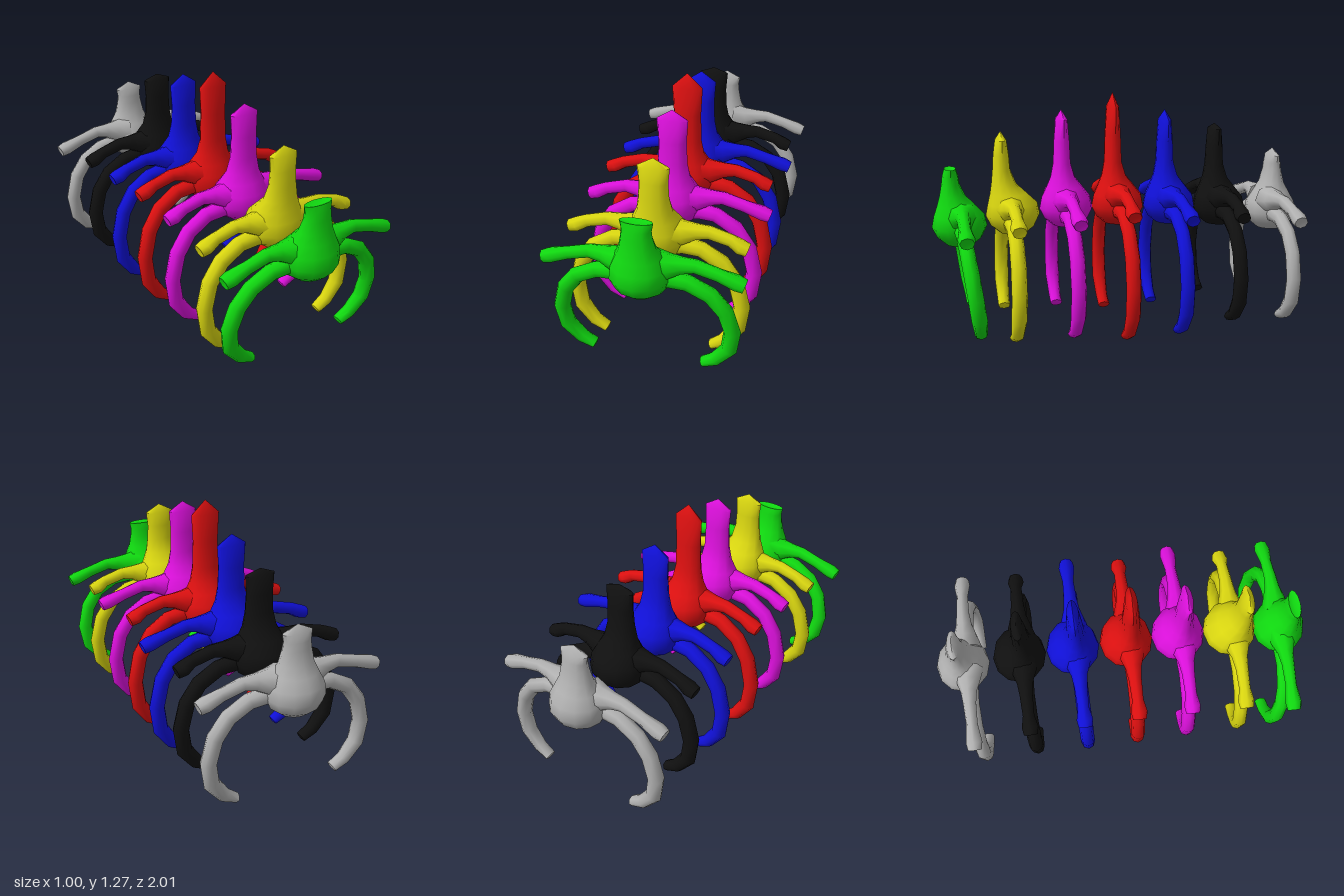
import * as THREE from 'three';
import { toCreasedNormals } from 'three/addons/utils/BufferGeometryUtils.js';

// Sweep of elliptical rings [x, y, z, radius in the xy plane, radius along z], capped by points.
function sweep(rings, sides, startCap, endCap) {
  const pos = [], idx = [], n = rings.length;
  rings.forEach(([x, y, z, ra, rb], i) => {
    const a = rings[Math.max(i - 1, 0)], b = rings[Math.min(i + 1, n - 1)];
    const t = new THREE.Vector2(b[0] - a[0], b[1] - a[1]).normalize();
    for (let k = 0; k < sides; k++) {
      const u = (k / sides) * Math.PI * 2;
      const c = Math.cos(u) * ra, s = Math.sin(u) * rb;
      pos.push(x - t.y * c, y + t.x * c, z + s);
    }
  });
  pos.push(...startCap, ...endCap);
  for (let k = 0; k < sides; k++) {
    const m = (k + 1) % sides;
    for (let i = 0; i < n - 1; i++) {
      const a = i * sides + k, b = i * sides + m;
      idx.push(a, b, b + sides, a, b + sides, a + sides);
    }
    idx.push(n * sides, m, k);
    idx.push(n * sides + 1, (n - 1) * sides + k, (n - 1) * sides + m);
  }
  const g = new THREE.BufferGeometry();
  g.setAttribute('position', new THREE.Float32BufferAttribute(pos, 3));
  g.setIndex(idx);
  return toCreasedNormals(g, 0.95);
}

// One entry per segment, front to back.
const SEGMENTS = [
  { name: 'green', color: 0x10d810, z: 0.865, base: 0.495, shoulder: 0.9, tip: 0.885, lean: 0.04, lift: 0, ribEnd: 0.07, limbZ: -0.005, slant: 0.07, reach: [0.495, 0.5] },
  { name: 'yellow', color: 0xd8d510, z: 0.588, base: 0.545, shoulder: 1.04, tip: 1.085, lean: 0.055, lift: 0.03, ribEnd: 0.04, limbZ: 0.02, slant: -0.01, reach: [0.455, 0.465] },
  { name: 'magenta', color: 0xdc10dc, z: 0.305, base: 0.57, shoulder: 1.14, tip: 1.19, lean: 0.02, lift: 0.06, ribEnd: 0.035, limbZ: 0.015, slant: 0, reach: [0.505, 0.465] },
  { name: 'red', color: 0xdc1010, z: 0.025, base: 0.57, shoulder: 1.2, tip: 1.275, lean: 0.025, lift: 0.075, ribEnd: 0, limbZ: 0.015, slant: 0, reach: [0.455, 0.465] },
  { name: 'blue', color: 0x1010d8, z: -0.262, base: 0.56, shoulder: 1.125, tip: 1.18, lean: 0.025, lift: 0.055, ribEnd: 0.01, limbZ: 0.018, slant: 0, reach: [0.505, 0.465] },
  { name: 'black', color: 0x101010, z: -0.55, base: 0.54, shoulder: 1.07, tip: 1.1, lean: 0.03, lift: 0.045, ribEnd: 0.065, limbZ: 0.02, slant: 0, reach: [0.455, 0.465] },
  { name: 'grey', color: 0xb0b0b0, z: -0.858, base: 0.5, shoulder: 0.915, tip: 0.955, lean: -0.005, lift: 0.015, ribEnd: 0.055, limbZ: 0.03, slant: -0.01, reach: [0.49, 0.5] },
];
const CENTER_X = -0.006;

// Rounded body tapering into a flat upright spine.
function bodyGeometry({ z, base, shoulder, tip, lean }) {
  const neck = Math.min(base + 0.34, shoulder - 0.08);
  const rings = [
    [0.008, 0.075, 0.07, 0], [0.045, 0.125, 0.115, 0], [0.1, 0.15, 0.142, 0],
    [0.16, 0.143, 0.13, 0], [0.215, 0.115, 0.095, 0.4], [0.265, 0.09, 0.065, 0.8],
    [neck - base, 0.076, 0.046, 1], [(neck + shoulder) / 2 - base, 0.072, 0.041, 1],
    [shoulder - base, 0.08, 0.03, 1],
  ].map(([h, rx, rz, f]) => [CENTER_X, base + h, z + lean * f, rx, rz]);
  return sweep(rings, 12, [CENTER_X, base, z], [CENTER_X, tip, z + lean]);
}

// Sideways arm with a slightly swollen end.
function armGeometry({ z, lift, limbZ, reach }, side) {
  const r = side > 0 ? reach[0] : reach[1];
  const rings = [
    [0.06, 0.655, 0.085, 0.085], [0.13, 0.662, 0.062, 0.062], [0.19, 0.675, 0.042, 0.042],
    [0.255, 0.68, 0.034, 0.034], [0.36, 0.652, 0.033, 0.03],
    [r - 0.05, 0.625, 0.037, 0.043], [r - 0.012, 0.612, 0.032, 0.036],
  ].map(([x, y, a, b]) => [side * x, y + lift, z + limbZ, a, b]);
  return sweep(rings, 8, [side * 0.05, 0.655 + lift, z + limbZ], [side * (r - 0.018), 0.612 + lift, z + limbZ]);
}

// Curved rib hanging from the body and closing inward below.
function ribGeometry({ z, lift, ribEnd, limbZ, slant }, side) {
  const place = (x, y) => {
    const f = (y - 0.07) / 0.53;
    return [side * x + CENTER_X / 2, ribEnd + f * (0.6 + lift - ribEnd), z + limbZ - slant * (1 - f)];
  };
  const path = [
    [0.06, 0.58, 0.05], [0.13, 0.592, 0.045], [0.22, 0.582, 0.041], [0.325, 0.528, 0.041],
    [0.393, 0.44, 0.042], [0.425, 0.32, 0.042], [0.407, 0.205, 0.042], [0.34, 0.125, 0.036], [0.275, 0.092, 0.024],
  ];
  const rings = path.map(([x, y, r]) => [...place(x, y), r, Math.max(r * 0.93, 0.033)]);
  return sweep(rings, 8, place(0.05, 0.58), place(0.27, 0.09));
}

export function createModel() {
  const model = new THREE.Group();
  model.name = 'ribcage';
  for (const seg of SEGMENTS) {
    const group = new THREE.Group();
    group.name = `${seg.name}Vertebra`;
    const material = new THREE.MeshStandardMaterial({ color: seg.color });
    const add = (name, geometry) => {
      const mesh = new THREE.Mesh(geometry, material);
      mesh.name = name;
      group.add(mesh);
    };
    add('bodyAndSpine', bodyGeometry(seg));
    for (const [label, side] of [['left', 1], ['right', -1]]) {
      add(`${label}Arm`, armGeometry(seg, side));
      add(`${label}Rib`, ribGeometry(seg, side));
    }
    model.add(group);
  }
  return model;
}
